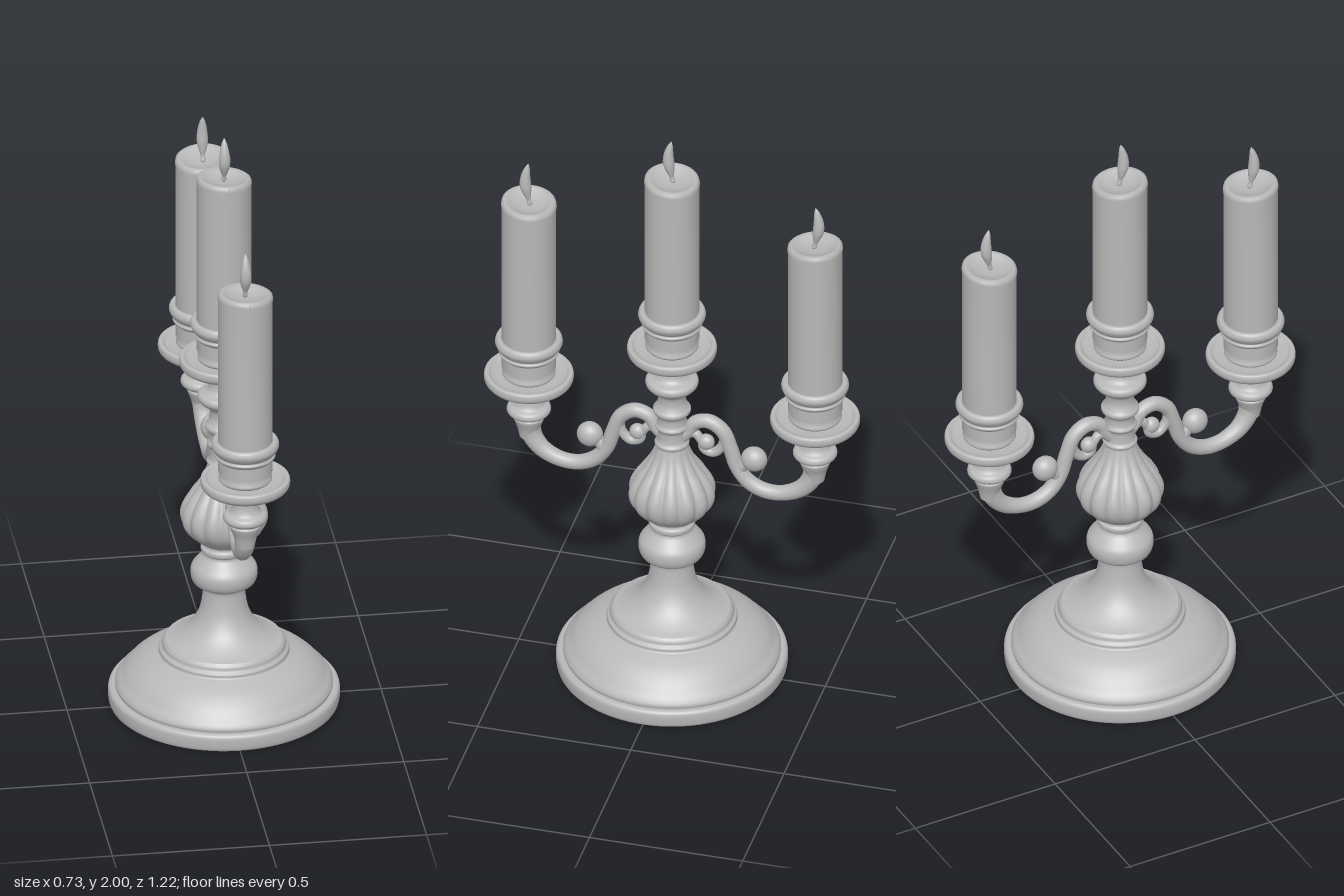
import * as THREE from 'three';

const metal = new THREE.MeshStandardMaterial({ color: 0xb8b8b8 });
metal.name = 'plain grey';

const vecs = (pts) => pts.map(([x, y]) => new THREE.Vector2(x, y));

// Turned part; the profile [radius, height] runs bottom to top
function turned(name, pts, { smooth = true, segments = 64, steps = 5 } = {}) {
  let profile = vecs(pts);
  if (smooth) profile = new THREE.SplineCurve(profile).getPoints((pts.length - 1) * steps);
  profile.forEach((p) => { p.x = Math.max(p.x, 0); });
  const mesh = new THREE.Mesh(new THREE.LatheGeometry(profile, segments), metal);
  mesh.name = name;
  return mesh;
}

// Moves every vertex by a rule and refreshes the normals
function reshape(mesh, rule) {
  const pos = mesh.geometry.attributes.position;
  const v = new THREE.Vector3();
  for (let i = 0; i < pos.count; i++) {
    v.fromBufferAttribute(pos, i);
    rule(v);
    pos.setXYZ(i, v.x, v.y, v.z);
  }
  mesh.geometry.computeVertexNormals();
  return mesh;
}

// Round rod along points [y, z, radius], thickness varying along its length
function rod(name, pts, segs = 80, sides = 16) {
  const curve = new THREE.CatmullRomCurve3(pts.map(([y, z]) => new THREE.Vector3(0, y, z)));
  const geo = new THREE.TubeGeometry(curve, segs, 1, sides, false);
  const pos = geo.attributes.position, nor = geo.attributes.normal;
  for (let i = 0; i <= segs; i++) {
    const u = i / segs, c = curve.getPointAt(u);
    const t = curve.getUtoTmapping(u) * (pts.length - 1);
    const k = Math.min(Math.floor(t), pts.length - 2);
    const r = THREE.MathUtils.lerp(pts[k][2], pts[k + 1][2], t - k);
    for (let j = 0; j <= sides; j++) {
      const n = i * (sides + 1) + j;
      pos.setXYZ(n, c.x + nor.getX(n) * r, c.y + nor.getY(n) * r, c.z + nor.getZ(n) * r);
    }
  }
  const mesh = new THREE.Mesh(geo, metal);
  mesh.name = name;
  return mesh;
}

function ball(name, r, y, z, stretch = 1) {
  const mesh = new THREE.Mesh(new THREE.SphereGeometry(r, 24, 16), metal);
  mesh.name = name;
  mesh.position.set(0, y, z);
  mesh.scale.set(0.85, 1, stretch);
  return mesh;
}

// Drip tray, socket, candle and flame; height 0 is the underside of the tray
function candleHolder(candleTop) {
  const g = new THREE.Group();
  g.name = 'candleHolder';
  g.add(turned('dripTray', [
    [0.035, -0.03], [0.045, -0.018], [0.09, -0.014], [0.122, -0.006], [0.138, 0.006], [0.142, 0.02],
    [0.139, 0.034], [0.128, 0.036], [0.115, 0.028], [0.08, 0.024], [0.05, 0.024]]));
  g.add(turned('socket', [
    [0.07, 0.02], [0.084, 0.032], [0.08, 0.05], [0.079, 0.075], [0.084, 0.1], [0.096, 0.115],
    [0.092, 0.125], [0.1, 0.134], [0.107, 0.15], [0.103, 0.165], [0.094, 0.17], [0.084, 0.166]]));
  // Candle with a slightly sloping, dished top
  const t = candleTop;
  const candle = turned('candle', [
    [0.086, 0.06], [0.086, t - 0.3], [0.086, t - 0.03], [0.088, t - 0.018], [0.086, t - 0.006],
    [0.078, t], [0.066, t - 0.004], [0.05, t - 0.014], [0.025, t - 0.018], [0, t - 0.018]],
    { smooth: false });
  g.add(reshape(candle, (v) => {
    if (v.y > t - 0.05) v.y += -0.05 * v.x + 0.06 * v.z;
  }));
  const flame = turned('flame', [
    [0, t - 0.02], [0.008, t - 0.012], [0.007, t + 0.005], [0.013, t + 0.025], [0.018, t + 0.05],
    [0.016, t + 0.085], [0.009, t + 0.12], [0, t + 0.14]], { segments: 20 });
  g.add(reshape(flame, (v) => {
    const bend = (v.y - t) / 0.14;
    v.z += 0.012 * Math.sin(bend * 3);
  }));
  return g;
}

// Scrolled arm reaching towards +z, with its own candle
function arm() {
  const g = new THREE.Group();
  g.name = 'arm';
  g.add(rod('armScroll', [
    [0.84, 0.466, 0.036], [0.79, 0.455, 0.032], [0.745, 0.42, 0.028], [0.717, 0.36, 0.025],
    [0.717, 0.3, 0.025], [0.742, 0.25, 0.025], [0.79, 0.213, 0.024], [0.86, 0.19, 0.024],
    [0.92, 0.165, 0.024], [0.948, 0.12, 0.024], [0.935, 0.075, 0.023], [0.9, 0.055, 0.021],
    [0.87, 0.03, 0.02]], 110));
  // Leaf curl and knob on the outer bend
  g.add(rod('outerCurl', [
    [0.755, 0.24, 0.016], [0.782, 0.225, 0.02], [0.805, 0.235, 0.02], [0.825, 0.262, 0.02]], 24));
  g.add(ball('outerKnob', 0.042, 0.83, 0.268));
  // Small curl beneath the inner bend
  g.add(rod('innerCurl', [
    [0.9, 0.17, 0.014], [0.86, 0.163, 0.016], [0.833, 0.135, 0.016], [0.842, 0.105, 0.016],
    [0.87, 0.1, 0.016]], 30));
  g.add(ball('innerKnob', 0.027, 0.868, 0.112));
  g.add(rod('innerBrace', [
    [0.865, 0.1, 0.014], [0.895, 0.075, 0.015], [0.885, 0.04, 0.016]], 20));
  const cup = turned('armCup', [
    [0.03, 0.79], [0.037, 0.825], [0.046, 0.85], [0.05, 0.864], [0.046, 0.872], [0.06, 0.878],
    [0.07, 0.89], [0.066, 0.905], [0.05, 0.915], [0.042, 0.935], [0.041, 0.96], [0.044, 0.99]],
    { segments: 40 });
  cup.position.z = 0.467;
  g.add(cup);
  const holder = candleHolder(0.69);
  holder.position.set(0, 1.0, 0.467);
  g.add(holder);
  return g;
}

export function createModel() {
  const model = new THREE.Group();
  model.name = 'candelabrum';

  // Stepped foot
  model.add(turned('footUnderside', [[0, 0.008], [0.3, 0.008], [0.345, 0]], { smooth: false }));
  model.add(turned('footRim', [
    [0.345, 0], [0.358, 0.003], [0.364, 0.012], [0.366, 0.035], [0.364, 0.052], [0.355, 0.06],
    [0.342, 0.06]], { segments: 96 }));
  model.add(turned('footDome', [
    [0.342, 0.058], [0.344, 0.07], [0.336, 0.085], [0.322, 0.1], [0.3, 0.125], [0.265, 0.152],
    [0.225, 0.172], [0.207, 0.18], [0.205, 0.192], [0.196, 0.2], [0.193, 0.212], [0.185, 0.222]],
    { segments: 96 }));
  model.add(turned('lowerStem', [
    [0.187, 0.22], [0.16, 0.23], [0.125, 0.253], [0.097, 0.285], [0.078, 0.325], [0.069, 0.37],
    [0.067, 0.405], [0.078, 0.416], [0.098, 0.428], [0.106, 0.452], [0.103, 0.478], [0.087, 0.5],
    [0.07, 0.518], [0.066, 0.53], [0.073, 0.537], [0.073, 0.55], [0.066, 0.557], [0.066, 0.575]]));

  // Fluted bulb
  const bulb = turned('flutedBulb', [
    [0.06, 0.56], [0.078, 0.572], [0.106, 0.594], [0.13, 0.624], [0.139, 0.657], [0.134, 0.69],
    [0.115, 0.727], [0.088, 0.765], [0.067, 0.8], [0.055, 0.83], [0.05, 0.85]], { segments: 168 });
  model.add(reshape(bulb, (v) => {
    const a = Math.atan2(v.z, v.x);
    const fade = Math.sin(Math.PI * THREE.MathUtils.clamp((v.y - 0.56) / 0.29, 0, 1));
    const k = 1 - 0.1 * fade * (1 - Math.abs(Math.sin(7 * a)));
    v.x *= k;
    v.z *= k;
  }));

  // Upper stem with turned rings
  model.add(turned('upperStem', [
    [0.05, 0.84], [0.055, 0.852], [0.047, 0.866], [0.046, 0.9], [0.054, 0.915], [0.047, 0.93],
    [0.047, 0.955], [0.058, 0.968], [0.06, 0.98], [0.052, 0.992], [0.045, 1.01], [0.046, 1.035],
    [0.056, 1.05], [0.074, 1.063], [0.084, 1.078], [0.08, 1.094], [0.058, 1.104], [0.047, 1.12],
    [0.044, 1.15], [0.05, 1.175]], { segments: 48 }));

  const centre = candleHolder(0.672);
  centre.position.y = 1.188;
  model.add(centre);

  // Front and back arms
  for (const turn of [0, Math.PI]) {
    const a = arm();
    a.rotation.y = turn;
    model.add(a);
  }
  return model;
}
